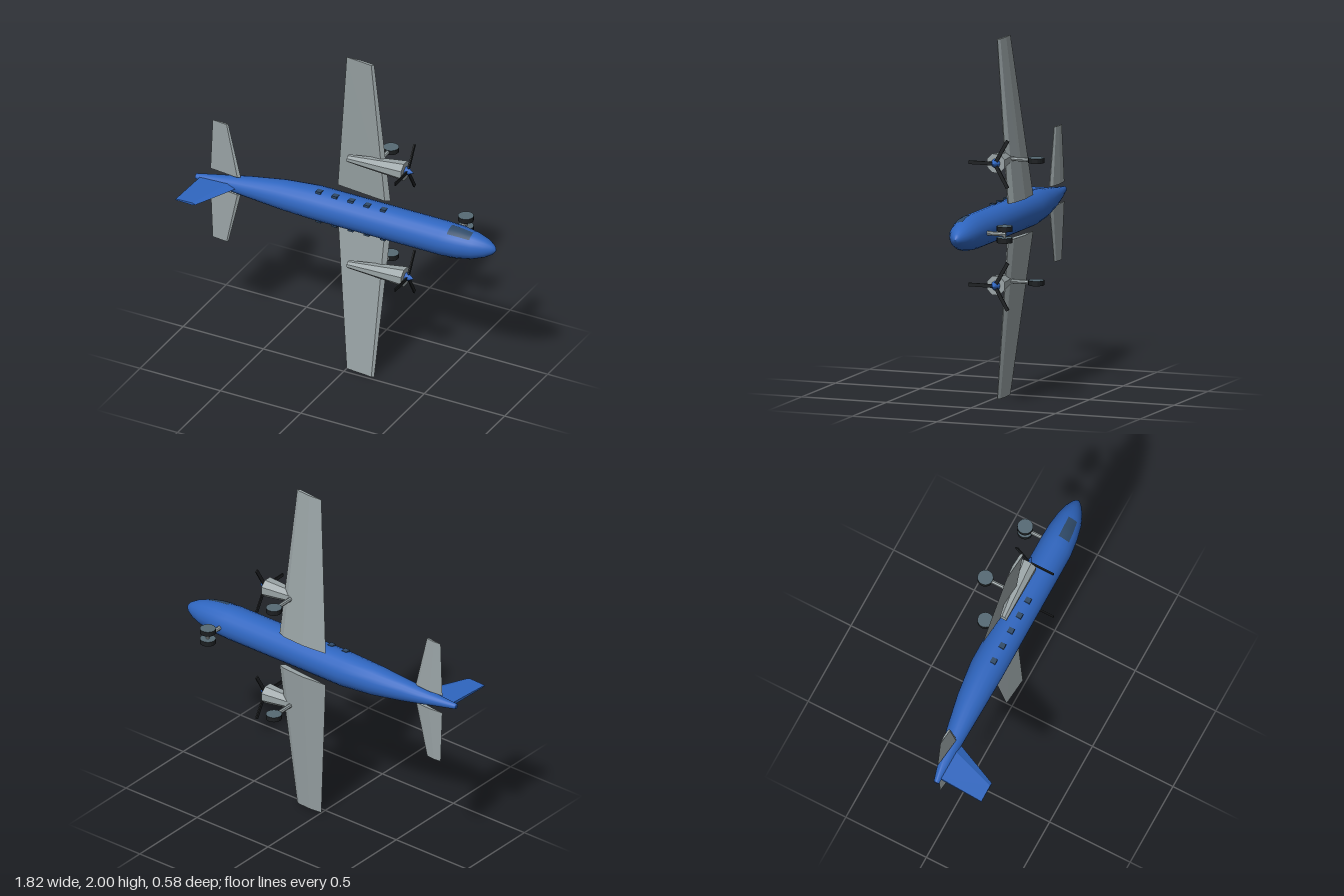
import * as THREE from 'three';

const mat = (color, flatShading = false) => new THREE.MeshStandardMaterial({ color, flatShading });
const blue = mat(0x2f66c0), blueFlat = mat(0x2f66c0, true), grey = mat(0x9aa4a6, true);
const black = mat(0x1c1f21, true), slate = mat(0x566a74), glass = mat(0x2f4a68);
glass.side = THREE.DoubleSide;

// Skin a list of equal-length rings; end caps optional, winding made outward by signed volume
function loft(rings, capped = true) {
  const n = rings[0].length, pos = rings.flat(2), idx = [];
  for (let i = 0; i < rings.length - 1; i++) for (let j = 0; j < n; j++) {
    const a = i * n + j, b = i * n + (j + 1) % n;
    idx.push(a, b, a + n, b, b + n, a + n);
  }
  if (capped) for (let j = 1; j < n - 1; j++) {
    const e = (rings.length - 1) * n;
    idx.push(0, j + 1, j, e, e + j, e + j + 1);
  }
  const P = i => new THREE.Vector3(...pos.slice(3 * i, 3 * i + 3)).sub(new THREE.Vector3(...rings[0][0]));
  let vol = 0;
  for (let k = 0; k < idx.length; k += 3) vol += P(idx[k]).dot(P(idx[k + 1]).cross(P(idx[k + 2])));
  if (vol < 0) idx.reverse();
  const g = new THREE.BufferGeometry();
  g.setAttribute('position', new THREE.Float32BufferAttribute(pos, 3));
  g.setIndex(idx);
  g.computeVertexNormals();
  return g;
}

// Body stations: x, half width, lowest z, highest z
const BODY = [
  [-0.91, 0.016, -0.002, 0.03], [-0.75, 0.037, -0.048, 0.034], [-0.6, 0.06, -0.085, 0.036],
  [-0.4, 0.085, -0.125, 0.041], [-0.2, 0.097, -0.15, 0.045], [0.2, 0.097, -0.15, 0.045],
  [0.6, 0.097, -0.15, 0.045], [0.7, 0.091, -0.147, 0.033], [0.79, 0.075, -0.135, 0.012],
  [0.85, 0.054, -0.118, -0.015], [0.89, 0.03, -0.097, -0.043], [0.903, 0.015, -0.084, -0.057],
  [0.91, 0.001, -0.071, -0.069]];

// Point on the body, angle measured from the side (0) toward the top (PI/2)
function bodyPoint([x, w, lo, hi], angle, grow = 0) {
  return [x, 1 + (w + grow) * Math.cos(angle), (lo + hi) / 2 + ((hi - lo) / 2 + grow) * Math.sin(angle)];
}
function stationAt(x) {
  const i = BODY.findIndex(s => s[0] >= x), a = BODY[i - 1], b = BODY[i];
  const t = (x - a[0]) / (b[0] - a[0]);
  return a.map((v, k) => v + (b[k] - v) * t);
}

// Airfoil outline: [chord fraction from trailing edge, height fraction]
const FOIL = [[0, 0.3], [0.92, 1], [1, 0.6], [0.88, 0.2], [0.45, 0]];
const foilRing = (x0, x1, y, z0, z1) => FOIL.map(([u, h]) => [x0 + (x1 - x0) * u, y, z0 + (z1 - z0) * h]);

export function createModel() {
  const model = new THREE.Group();
  const add = (name, geometry, material, parent = model) => {
    const m = new THREE.Mesh(geometry, material);
    m.name = name;
    parent.add(m);
    return m;
  };

  // Fuselage
  const SIDES = 20;
  add('fuselage', loft(BODY.map(s => Array.from({ length: SIDES },
    (_, j) => bodyPoint(s, j / SIDES * Math.PI * 2)))), blue);

  // Tail fin: chamfered leading edge, thinning toward the tip
  const finRing = (xt, xc, xl, w, z) =>
    [[xt, 1 - w * 0.5, z], [xc, 1 - w, z], [xl, 1, z], [xc, 1 + w, z], [xt, 1 + w * 0.5, z]];
  add('tailFin', loft([finRing(-0.88, -0.7, -0.645, 0.018, 0.01),
    finRing(-0.893, -0.79, -0.77, 0.007, 0.285)]), blueFlat);

  const wheel = (name, x, y, z, width) => {
    const m = add(name, new THREE.CylinderGeometry(0.044, 0.044, width, 18), [black, slate, slate]);
    m.position.set(x, y, z);
  };
  const strut = (name, x, y, z0, z1) => {
    const g = new THREE.CylinderGeometry(0.012, 0.012, z1 - z0, 8).rotateX(Math.PI / 2);
    add(name, g, grey).position.set(x, y, (z0 + z1) / 2);
  };

  for (const s of [1, -1]) {
    const side = s > 0 ? 'upper' : 'lower';
    const Y = d => 1 + s * d;

    // Wing and tailplane
    add(side + 'Wing', loft([foilRing(-0.105, 0.23, Y(0.1), -0.14, -0.095),
      foilRing(0, 0.175, Y(1), -0.04, -0.018)]), grey);
    add(side + 'Tailplane', loft([foilRing(-0.838, -0.645, Y(0.055), -0.025, 0.004),
      foilRing(-0.82, -0.72, Y(0.375), -0.013, 0.002)]), grey);

    // Engine nacelle, tapering aft
    const oct = (x, r, z) => Array.from({ length: 8 }, (_, j) => {
      const a = (j + 0.5) * Math.PI / 4;
      return [x, Y(0.34) + r * Math.cos(a), z + r * Math.sin(a)];
    });
    add(side + 'Nacelle', loft([oct(0, 0.022, -0.053), oct(0.34, 0.057, -0.083)]), grey);

    // Propeller: spinner and three blades
    const prop = new THREE.Group();
    prop.name = side + 'Propeller';
    prop.position.set(0.355, Y(0.34), -0.083);
    model.add(prop);
    add('spinner', new THREE.ConeGeometry(0.027, 0.05, 10).rotateZ(-Math.PI / 2), blueFlat, prop).position.x = 0.012;
    for (let i = 0; i < 3; i++) {
      const blade = add('blade', new THREE.BoxGeometry(0.007, 0.02, 0.153).translate(0, 0, 0.0765), black, prop);
      blade.rotation.x = i * Math.PI * 2 / 3;
    }

    // Main gear under the nacelle, and one of the paired nose wheels
    strut(side + 'MainStrut', 0.16, Y(0.34), -0.25, -0.07);
    wheel(side + 'MainWheel', 0.16, Y(0.34), -0.25, 0.028);
    wheel(side + 'NoseWheel', 0.625, Y(0.032), -0.25, 0.028);

    // Cabin windows
    for (let i = 0; i < 5; i++)
      add(side + 'Window', new THREE.BoxGeometry(0.032, 0.025, 0.032), glass)
        .position.set(-0.165 + i * 0.1, Y(0.086), -0.025);

    // Cockpit window: strip lying just above the body skin
    const pos = [], idx = [], N = 6, M = 4;
    for (let i = 0; i <= N; i++) for (let j = 0; j <= M; j++) {
      const p = bodyPoint(stationAt(0.645 + 0.13 * i / N), 0.02 + 0.72 * j / M, 0.003);
      pos.push(p[0], 1 + s * (p[1] - 1), p[2]);
      if (i < N && j < M) {
        const a = i * (M + 1) + j, b = a + M + 1;
        if (s > 0) idx.push(a, a + 1, b, a + 1, b + 1, b);
        else idx.push(a, b, a + 1, a + 1, b, b + 1);
      }
    }
    const pane = new THREE.BufferGeometry();
    pane.setAttribute('position', new THREE.Float32BufferAttribute(pos, 3));
    pane.setIndex(idx);
    pane.computeVertexNormals();
    add(side + 'CockpitWindow', pane, glass);
  }

  // Nose gear leg and axle
  strut('noseStrut', 0.625, 1, -0.255, -0.13);
  add('noseAxle', new THREE.CylinderGeometry(0.009, 0.009, 0.06, 8), grey).position.set(0.625, 1, -0.25);

  return model;
}
